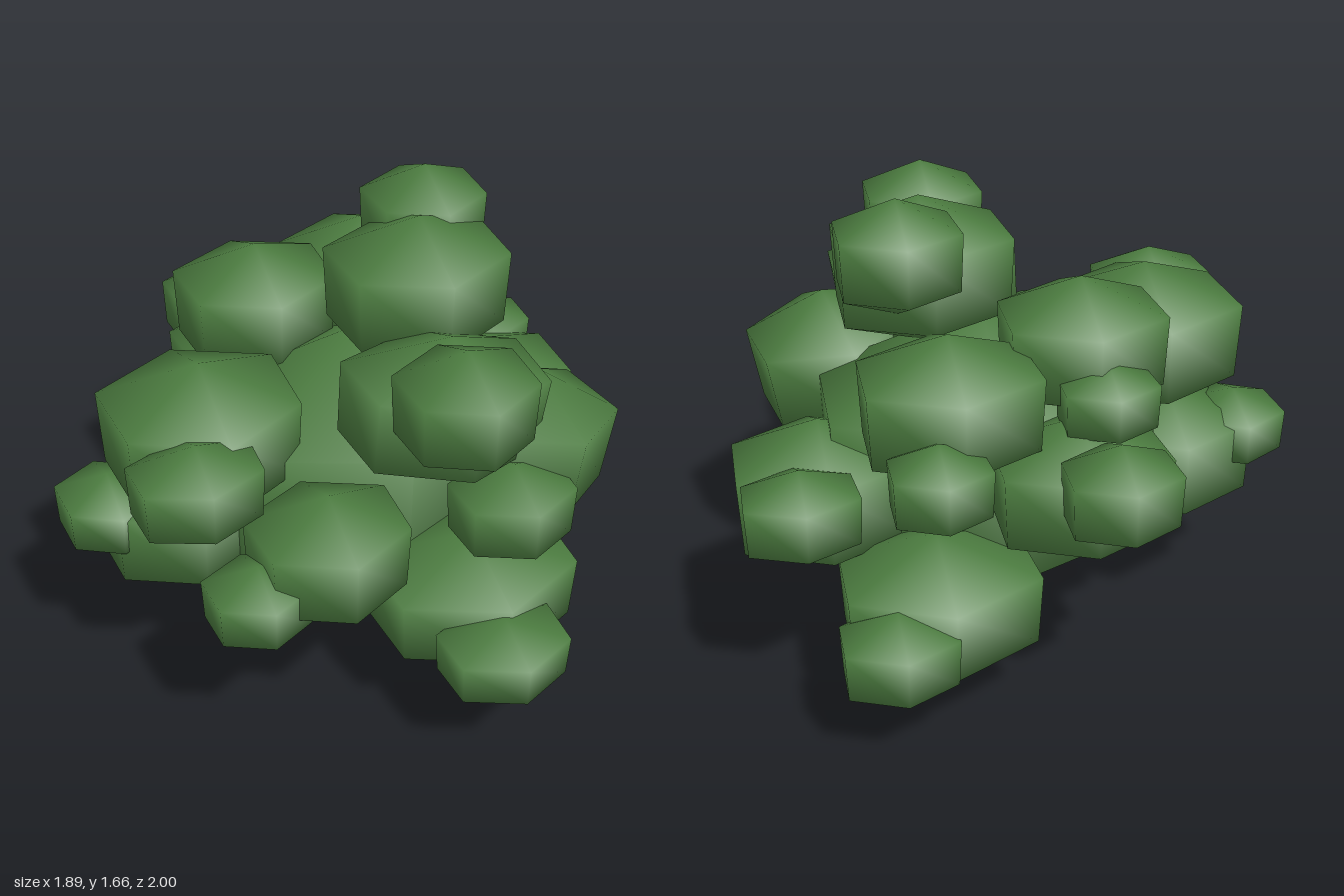
import * as THREE from 'three';

const foliage = new THREE.MeshStandardMaterial({ color: 0x4c7c40 });
foliage.name = 'leaf green';
const bark = new THREE.MeshStandardMaterial({ color: 0x524036 });
bark.name = 'bark brown';

// Six-sided smooth clump that fills -1..1 on every axis, drawn in a little
// below the middle and toward the front
const clump = new THREE.SphereGeometry(1, 6, 3);
clump.rotateY(Math.PI / 6);
clump.scale(1 / 0.75, 1, 1 / 0.866);
const points = clump.attributes.position;
for (let i = 0; i < points.count; i++) {
  const low = points.getY(i) < 0 ? 0.96 : 1;
  const front = points.getZ(i) > 0.1 ? 0.95 : 1;
  points.setX(i, points.getX(i) * low * front);
  points.setZ(i, points.getZ(i) * low);
}

// Leaf clumps: x, y, z, half width, half height, half depth, then yaw and roll
const core = [0.09, 0.67, -0.04, 0.54, 0.54, 0.45];
const large = [
  [0.28, 1.34, 0.0, 0.28, 0.25, 0.27],
  [0.2, 1.12, 0.38, 0.31, 0.25, 0.27, 0, -0.1],
  [-0.16, 1.18, -0.34, 0.25, 0.23, 0.25],
  [0.3, 1.1, -0.51, 0.27, 0.24, 0.26],
  [-0.1, 0.8, -0.56, 0.27, 0.24, 0.26],
  [0.66, 0.68, -0.19, 0.28, 0.26, 0.27],
  [0.52, 0.89, 0.35, 0.27, 0.26, 0.28, 0.18, -0.14],
  [0.26, 0.47, 0.51, 0.33, 0.22, 0.3],
  [-0.25, 0.77, 0.52, 0.24, 0.22, 0.24],
  [-0.5, 1.0, 0.06, 0.3, 0.26, 0.31],
  [-0.55, 0.61, -0.06, 0.27, 0.25, 0.27],
  [0.34, 0.4, -0.48, 0.31, 0.24, 0.31],
];
const small = [
  [0.39, 1.47, -0.2, 0.19, 0.19, 0.2],
  [0.15, 1.28, 0.63, 0.2, 0.2, 0.21],
  [0.38, 0.96, -0.75, 0.15, 0.15, 0.15],
  [-0.15, 0.91, -0.83, 0.17, 0.17, 0.17],
  [-0.19, 1.07, -0.54, 0.15, 0.14, 0.15],
  [0.76, 0.76, -0.47, 0.18, 0.16, 0.16],
  [0.36, 0.81, 0.58, 0.19, 0.17, 0.18],
  [0.23, 0.43, 0.82, 0.2, 0.14, 0.18],
  [-0.5, 0.68, 0.56, 0.16, 0.14, 0.16],
  [-0.62, 1.01, 0.37, 0.2, 0.17, 0.17],
  [-0.79, 0.68, -0.08, 0.16, 0.14, 0.18],
  [0.51, 0.36, -0.71, 0.18, 0.16, 0.17],
];

// Stems: base, bend and tip points
const stems = [
  [[0, 0, -0.05], [0, 0.13, -0.05], [-0.26, 0.34, -0.09]],
  [[0.07, 0, 0.015], [0.075, 0.12, 0.02], [0.17, 0.34, 0.26]],
  [[0.14, 0, -0.04], [0.13, 0.13, -0.04], [0.29, 0.3, -0.07]],
  [[0.08, 0, -0.11], [0.08, 0.12, -0.11], [0.11, 0.27, -0.24]],
];

function addClump(group, name, [x, y, z, a, b, c, yaw = 0, roll = 0]) {
  const mesh = new THREE.Mesh(clump, foliage);
  mesh.name = name;
  mesh.position.set(x, y, z);
  mesh.rotation.set(0, yaw, roll);
  mesh.scale.set(a, b, c);
  group.add(mesh);
}

// Tapered bar between two points
function bar(name, from, to, r0, r1) {
  const a = new THREE.Vector3(...from);
  const b = new THREE.Vector3(...to);
  const dir = b.clone().sub(a);
  const mesh = new THREE.Mesh(new THREE.CylinderGeometry(r1, r0, dir.length(), 6), bark);
  mesh.name = name;
  mesh.position.copy(a).add(b).multiplyScalar(0.5);
  mesh.quaternion.setFromUnitVectors(new THREE.Vector3(0, 1, 0), dir.normalize());
  return mesh;
}

export function createModel() {
  const model = new THREE.Group();
  model.name = 'bush';

  const leaves = new THREE.Group();
  leaves.name = 'foliage';
  addClump(leaves, 'coreClump', core);
  large.forEach((c, i) => addClump(leaves, `largeClump${i + 1}`, c));
  small.forEach((c, i) => addClump(leaves, `smallClump${i + 1}`, c));
  model.add(leaves);

  stems.forEach(([base, bend, tip], i) => {
    const stem = new THREE.Group();
    stem.name = `stem${i + 1}`;
    stem.add(bar('trunk', base, bend, 0.024, 0.02), bar('branch', bend, tip, 0.02, 0.014));
    model.add(stem);
  });
  return model;
}
